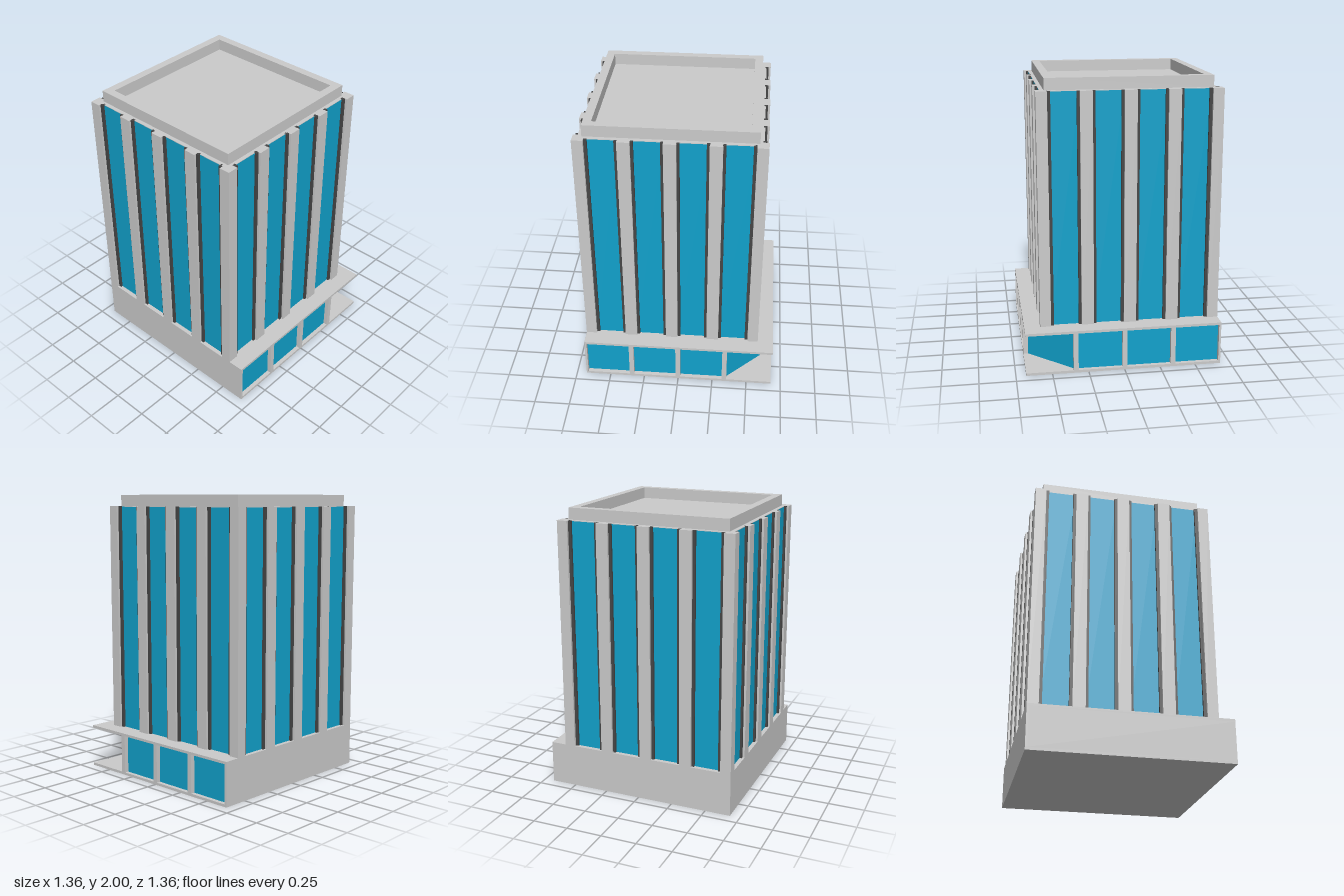
import * as THREE from 'three';

const grey = new THREE.MeshStandardMaterial({ color: 0xcccccc });
const glass = new THREE.MeshStandardMaterial({ color: 0x11a2cc });
const dark = new THREE.MeshStandardMaterial({ color: 0x464646 });

// Box given by its min and max corners
function box(parent, name, mat, [x0, y0, z0], [x1, y1, z1]) {
  const geo = new THREE.BoxGeometry(x1 - x0, y1 - y0, z1 - z0);
  geo.translate((x0 + x1) / 2, (y0 + y1) / 2, (z0 + z1) / 2);
  const mesh = new THREE.Mesh(geo, mat);
  mesh.name = name;
  parent.add(mesh);
  return mesh;
}

// Vertical prism from a shape whose y axis becomes -z
function prism(parent, name, mat, shape, y0, y1) {
  const geo = new THREE.ExtrudeGeometry(shape, { depth: y1 - y0, bevelEnabled: false });
  geo.rotateX(-Math.PI / 2).translate(0, y0, 0);
  const mesh = new THREE.Mesh(geo, mat);
  mesh.name = name;
  parent.add(mesh);
  return mesh;
}

const square = (h) => [[-h, -h], [h, -h], [h, h], [-h, h]].map(([x, y]) => new THREE.Vector2(x, y));

function createPodium() {
  const podium = new THREE.Group();
  podium.name = 'podium';
  const R = 0.68, G = 0.65, TOP = 0.305, T = 0.018;

  // Floor and ceiling slabs, reaching out over the cut corner
  box(podium, 'floorSlab', grey, [-R, 0, -R], [R, T, R]);
  box(podium, 'ceilingSlab', grey, [-R, TOP - T, -R], [R, TOP, R]);

  // Solid back and left-hand walls
  box(podium, 'backWall', grey, [-R, T, -R], [R, TOP - T, -R + 0.015]);
  box(podium, 'sideWall', grey, [-R, T, -R + 0.015], [-R + 0.015, TOP - T, R]);

  // Glazed body with a diagonal corner entrance
  const plan = [[-0.67, 0.67], [G, 0.67], [G, -0.35], [0.35, -G], [-0.67, -G]];
  const shape = new THREE.Shape(plan.map(([x, y]) => new THREE.Vector2(x, y)));
  prism(podium, 'podiumGlass', glass, shape, T, TOP - T);

  // Mullions on the two glazed sides
  for (const c of [-0.341, -0.002, 0.337]) {
    const a = c - 0.017, b = c + 0.017;
    box(podium, 'frontMullion', grey, [a, T, G - 0.01], [b, TOP - T, R]);
    box(podium, 'sideMullion', grey, [G - 0.01, T, a], [R, TOP - T, b]);
  }
  return podium;
}

// One tower facade facing +z, centred on the tower axis
function createFacade(y0, y1) {
  const facade = new THREE.Group();
  facade.name = 'facade';
  const wall = 0.595, pitch = 0.295;
  for (let i = 0; i < 4; i++) {
    const c = (i - 1.5) * pitch;
    box(facade, 'windowStrip', glass, [c - 0.105, y0, wall - 0.02], [c + 0.105, y1 - 0.004, wall]);
    for (const s of [-1, 1]) {
      const f = c + s * 0.0965;
      box(facade, 'darkFin', dark, [f - 0.0105, y0, wall - 0.01], [f + 0.0105, y1, wall + 0.015]);
    }
  }
  for (let i = -1; i <= 1; i++) {
    const c = i * pitch;
    box(facade, 'pillar', grey, [c - 0.0425, y0, wall - 0.03], [c + 0.0425, y1, wall + 0.03]);
  }
  return facade;
}

function createTower() {
  const tower = new THREE.Group();
  tower.name = 'tower';
  const y0 = 0.305, y1 = 1.92;

  box(tower, 'core', grey, [-0.58, y0, -0.58], [0.58, y1 - 0.004, 0.58]);
  box(tower, 'roofSlab', grey, [-0.595, y1 - 0.004, -0.595], [0.595, y1, 0.595]);

  // Four equal facades and corner pillars
  for (let i = 0; i < 4; i++) {
    const side = createFacade(y0, y1);
    box(side, 'cornerPillar', grey, [0.55, y0, 0.55], [0.625, y1, 0.625]);
    side.rotation.y = i * Math.PI / 2;
    tower.add(side);
  }

  // Roof parapet ring
  const ring = new THREE.Shape(square(0.567));
  ring.holes.push(new THREE.Path(square(0.51).reverse()));
  prism(tower, 'parapet', grey, ring, y1, 2);

  tower.position.set(-0.055, 0, -0.055);
  return tower;
}

export function createModel() {
  const model = new THREE.Group();
  model.name = 'officeBuilding';
  model.add(createPodium(), createTower());
  return model;
}
